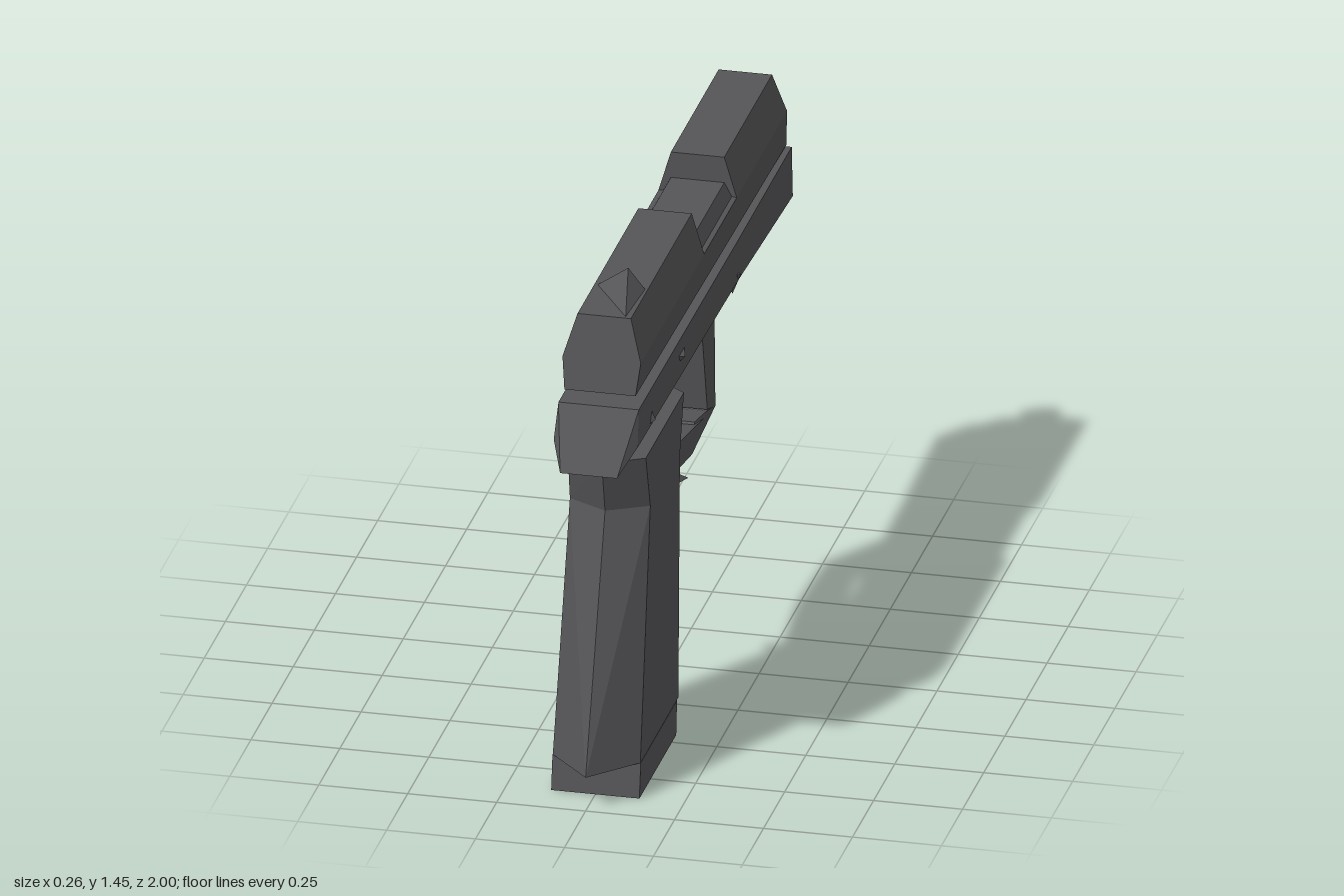
import * as THREE from 'three';
import { ConvexGeometry } from 'three/addons/geometries/ConvexGeometry.js';

export function createModel() {
  const group = new THREE.Group();
  const steel = new THREE.MeshStandardMaterial({ color: 0x555457, flatShading: true });
  steel.name = 'dark steel';

  // Convex faceted solid from corner points [x, y, z]
  const solid = (name, points) => {
    const mesh = new THREE.Mesh(new ConvexGeometry(points.map((p) => new THREE.Vector3(...p))), steel);
    mesh.name = name;
    group.add(mesh);
  };
  // Same, with every point mirrored across x = 0
  const mirrored = (name, points) =>
    solid(name, points.flatMap(([x, y, z]) => (x === 0 ? [[x, y, z]] : [[x, y, z], [-x, y, z]])));

  // Slide: two tall blocks joined by the low ejection port
  const slideBottom = (z) => 1.18 - (0.83 - z) * 0.016;
  const slideRing = (zTop, zMid, zLow, top = 1.388, wTop = 0.075) => [
    [wTop, top, zTop], [0.11, 1.27, zMid], [0.1, slideBottom(zLow), zLow],
  ];
  mirrored('slideRear', [...slideRing(0.78, 0.81, 0.83), ...slideRing(0.06, 0.06, 0.06)]);
  mirrored('ejectionPort', [
    ...slideRing(0.065, 0.065, 0.065, 1.272, 0.1), ...slideRing(-0.325, -0.325, -0.325, 1.272, 0.1)]);
  mirrored('chamber', [
    [0.075, 1.312, 0.065], [0.1, 1.265, 0.065], [0.075, 1.312, -0.325], [0.1, 1.265, -0.325]]);
  mirrored('slideFront', [...slideRing(-0.325, -0.325, -0.325), ...slideRing(-0.89, -0.92, -0.955)]);

  // Sight and muzzle
  solid('sight', [[-0.07, 1.385, 0.58], [0.07, 1.385, 0.58], [0.06, 1.385, 0.78], [0.02, 1.447, 0.58]]);
  solid('muzzle', [-0.86, -1].flatMap((z) => [
    [0.055, 1.265, z], [-0.055, 1.265, z], [0, 1.32, z], [0, 1.21, z]]));

  // Frame, slightly deeper toward the muzzle
  const frameMiddle = [[0.115, 1.145, -0.32], [0.118, 1.03, -0.32], [0.08, 0.985, -0.32]];
  mirrored('frameRear', [
    [0.113, 1.147, 0.845], [0.118, 1.05, 0.88], [0.08, 0.99, 0.965], ...frameMiddle]);
  mirrored('frameFront', [
    ...frameMiddle, [0.115, 1.147, -0.955], [0.118, 1.0, -0.955], [0.085, 0.955, -0.955]]);

  // Spacers between slide, frame and grip
  const block = (name, w, y0, y1, z0, z1) =>
    mirrored(name, [y0, y1].flatMap((y) => [[w, y, z0], [w, y, z1]]));
  block('slideRail', 0.055, 1.13, 1.19, 0.26, 0.58);
  block('gripNeck', 0.07, 0.94, 1.0, 0.29, 0.63);

  // Grip: levels with a rear ridge, flat sides and bevelled front
  const levels = [ // y, half width, rear ridge, rear corner, front corner, front
    [0.96, 0.11, 0.81, 0.75, 0.3, 0.255],
    [0.8, 0.113, 0.77, 0.71, 0.36, 0.28],
    [0.1, 0.123, 1.0, 0.87, 0.42, 0.385],
  ].map(([y, w, ridge, rear, front, tip]) => [[0, y, ridge], [w, y, rear], [w, y, front], [0.05, y, tip]]);
  mirrored('gripTop', [...levels[0], ...levels[1]]);
  mirrored('gripBody', [...levels[1], ...levels[2]]);

  // Magazine base with pointed front lip
  mirrored('magazineBase', [
    [0.124, 0, 0.885], [0.124, 0.1, 0.87], [0.124, 0, 0.45], [0.124, 0.1, 0.44]]);
  mirrored('magazineLip', [
    [0.12, 0, 0.46], [0.12, 0.08, 0.46], [0, 0, 0.375], [0, 0.08, 0.37]]);

  // Trigger and guard
  mirrored('trigger', [[0.03, 0.985, 0.14], [0.03, 0.985, 0.01], [0.006, 0.757, 0.063]]);
  mirrored('guardPost', [
    [0.04, 0.965, -0.195], [0.04, 0.965, -0.355], [0.05, 0.64, -0.325], [0.05, 0.67, -0.23]]);
  mirrored('guardFrontBar', [
    [0.05, 0.64, -0.325], [0.05, 0.67, -0.22], [0.05, 0.615, -0.05], [0.04, 0.68, -0.12]]);
  mirrored('guardRearBar', [
    [0.05, 0.615, -0.05], [0.05, 0.66, -0.2], [0.04, 0.74, 0.28], [0.04, 0.66, 0.3]]);

  // Small controls on both sides
  for (const s of [1, -1]) {
    const wedge = (name, inner, peak) => solid(name, [...inner, peak].map(([x, y, z]) => [x * s, y, z]));
    wedge('rearPin', [[0.1, 1.05, 0.77], [0.1, 1.12, 0.7], [0.1, 1.05, 0.7]], [0.128, 1.06, 0.71]);
    wedge('frontPin', [[0.1, 1.055, -0.26], [0.1, 1.055, -0.315], [0.1, 0.985, -0.315]], [0.126, 1.05, -0.31]);
    wedge('slideLever', [[0.1, 1.11, 0.4], [0.1, 1.11, 0.26], [0.1, 1.07, 0.38]], [0.13, 1.1, 0.37]);
    wedge('magazineButton', [[0.04, 0.75, 0.33], [0.04, 0.66, 0.33], [0.04, 0.7, 0.25]], [0.125, 0.71, 0.31]);
  }
  return group;
}
